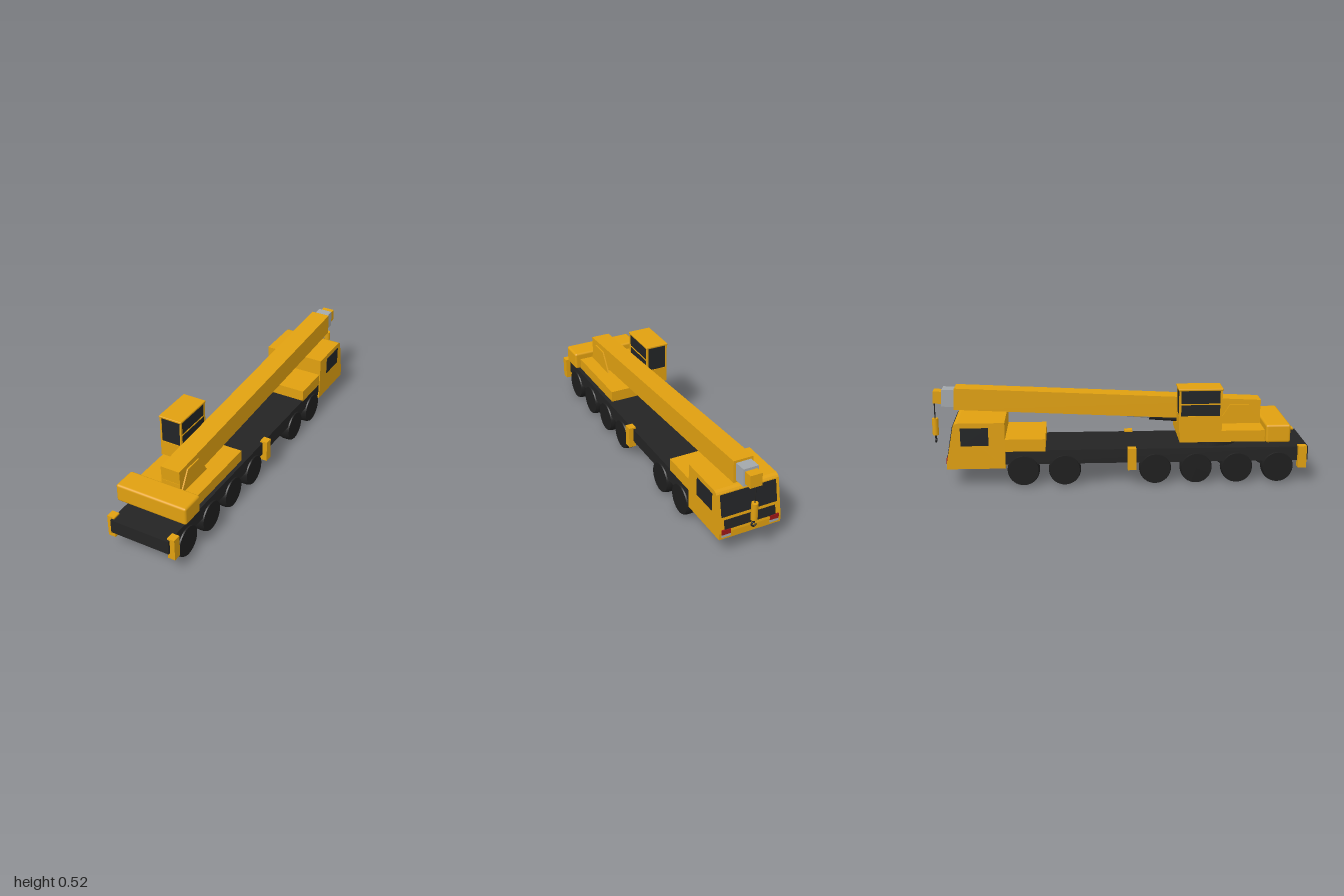
import * as THREE from 'three';
import { RoundedBoxGeometry } from 'three/addons/geometries/RoundedBoxGeometry.js';

const mat = (name, color) => Object.assign(new THREE.MeshStandardMaterial({ color }), { name });

export function createModel() {
  const yellow = mat('yellow paint', 0xe0a010);
  const dark = mat('dark chassis', 0x242424);
  const rubber = mat('tyre rubber', 0x1e1e1e);
  const glass = mat('dark glass', 0x222426);
  const steel = mat('grey steel', 0xa3a8ac);
  const red = mat('red lamp', 0xa01818);

  const model = new THREE.Group();
  model.name = 'mobileCrane';

  const add = (name, geometry, material, parent = model) => {
    const mesh = new THREE.Mesh(geometry, material);
    mesh.name = name;
    parent.add(mesh);
    return mesh;
  };
  // Box given by its limits on each axis
  const box = (name, material, [x0, x1], [y0, y1], [z0, z1], parent, radius = 0) => {
    const size = [x1 - x0, y1 - y0, z1 - z0];
    const geometry = radius ? new RoundedBoxGeometry(...size, 3, radius) : new THREE.BoxGeometry(...size);
    const mesh = add(name, geometry, material, parent);
    mesh.position.set((x0 + x1) / 2, (y0 + y1) / 2, (z0 + z1) / 2);
    return mesh;
  };
  // Cylinder between two points
  const rod = (name, material, from, to, radius, parent) => {
    const a = new THREE.Vector3(...from), b = new THREE.Vector3(...to);
    const mesh = add(name, new THREE.CylinderGeometry(radius, radius, a.distanceTo(b), 20), material, parent);
    mesh.position.copy(a).lerp(b, 0.5);
    mesh.quaternion.setFromUnitVectors(new THREE.Vector3(0, 1, 0), b.sub(a).normalize());
    return mesh;
  };
  // Side outline given as [z, y], extruded across x0..x1
  const sideProfile = (name, material, points, x0, x1, parent) => {
    const shape = new THREE.Shape(points.map(([z, y]) => new THREE.Vector2(-z, y)));
    const geometry = new THREE.ExtrudeGeometry(shape, { depth: x1 - x0, bevelEnabled: false });
    geometry.rotateY(Math.PI / 2).translate(x0, 0, 0);
    return add(name, geometry, material, parent);
  };

  // Chassis and engine cover
  box('chassis', dark, [-0.164, 0.164], [0.12, 0.195], [-0.7, 1]);
  box('engineCover', yellow, [-0.165, 0.165], [0.19, 0.256], [-0.605, -0.39]);

  // Wheels: six axles
  const tyre = new THREE.LatheGeometry(
    [[0, -0.033], [0.079, -0.033], [0.079, -0.033], [0.083, -0.022], [0.085, -0.012],
      [0.085, 0.012], [0.083, 0.022], [0.079, 0.033], [0.079, 0.033], [0, 0.033]]
      .map(([r, y]) => new THREE.Vector2(r, y)), 36).rotateZ(Math.PI / 2);
  for (const z of [0.84, 0.622, 0.405, 0.188, -0.29, -0.507]) {
    for (const s of [-1, 1]) add('wheel', tyre, rubber).position.set(s * 0.138, 0.085, z);
  }

  // Outrigger legs
  for (const z of [0.966, 0.063]) {
    for (const s of [-1, 1]) {
      box('outrigger', yellow, [s * 0.17 - 0.02, s * 0.17 + 0.02], [0.086, 0.204], [z - 0.022, z + 0.022]);
    }
  }

  // Driving cab with a sloping windscreen
  const cab = new THREE.Group();
  cab.name = 'drivingCab';
  model.add(cab);
  sideProfile('cabBody', yellow, [[-0.6, 0.1], [-0.905, 0.1], [-0.905, 0.135], [-0.867, 0.333],
    [-0.86, 0.342], [-0.845, 0.348], [-0.6, 0.348]], -0.17, 0.17, cab);
  const slope = Math.atan(0.038 / 0.198);
  const slopePlate = (name, material, [x0, x1], [y0, y1]) => {
    const y = (y0 + y1) / 2;
    const mesh = add(name, new THREE.BoxGeometry(x1 - x0, (y1 - y0) / Math.cos(slope), 0.008), material, cab);
    mesh.position.set((x0 + x1) / 2, y, -0.905 + (y - 0.135) * 0.192);
    mesh.rotation.x = slope;
  };
  slopePlate('windscreen', glass, [-0.152, 0.152], [0.215, 0.328]);
  slopePlate('grille', dark, [-0.14, 0.14], [0.15, 0.198]);
  for (const s of [-1, 1]) {
    box('sideWindow', glass, [s * 0.17 - 0.003, s * 0.17 + 0.003], [0.226, 0.322], [-0.83, -0.685], cab);
    box('lamp', red, [s * 0.133 - 0.024, s * 0.133 + 0.024], [0.126, 0.152], [-0.909, -0.9], cab);
    box('lampTrim', steel, [s * 0.133 - 0.024, s * 0.133 + 0.024], [0.112, 0.126], [-0.909, -0.9], cab);
  }

  // Slewing platform
  const turntable = add('turntable', new THREE.CylinderGeometry(0.132, 0.132, 0.04, 40), dark);
  turntable.position.set(0, 0.21, 0.51);
  box('platform', yellow, [-0.165, 0.165], [0.227, 0.288], [0.315, 0.785]);
  box('counterweight', yellow, [-0.197, 0.197], [0.228, 0.325], [0.765, 0.895], model, 0.012);

  // Operator cab: base, corner posts, inset glazing and roof
  const operator = new THREE.Group();
  operator.name = 'operatorCab';
  model.add(operator);
  box('operatorCabBase', yellow, [-0.174, -0.05], [0.285, 0.372], [0.308, 0.534], operator);
  for (const x of [-0.174, -0.059]) {
    for (const z of [0.308, 0.523]) {
      box('cornerPost', yellow, [x, x + 0.009], [0.372, 0.51], [z, z + 0.011], operator);
    }
  }
  box('operatorGlass', glass, [-0.172, -0.052], [0.37, 0.503], [0.311, 0.531], operator);
  for (const x of [-0.173, -0.051]) {
    box('windowBar', yellow, [x - 0.002, x + 0.002], [0.432, 0.438], [0.315, 0.527], operator);
  }
  box('operatorRoof', yellow, [-0.178, -0.047], [0.507, 0.519], [0.304, 0.538], operator, 0.004);

  // Boom with its telescoping section and head
  const boomX = 0.0325;
  const boom = new THREE.Group();
  boom.name = 'boom';
  boom.position.set(boomX, 0.398, -0.055);
  boom.rotation.x = 0.0505;
  model.add(boom);
  box('mainBoom', yellow, [-0.0525, 0.0525], [-0.058, 0.058], [-0.818, 0.82], boom);
  box('innerBoom', steel, [-0.04, 0.04], [-0.046, 0.046], [-0.885, -0.81], boom);
  box('boomHead', yellow, [-0.032, 0.032], [-0.033, 0.033], [-0.932, -0.88], boom);

  // Boom pivot cheeks and lift cylinder
  for (const s of [-1, 1]) {
    const x = boomX + s * 0.055;
    sideProfile('pivotCheek', yellow, [[0.765, 0.285], [0.53, 0.285], [0.6, 0.393], [0.7, 0.393]], x - 0.005, x + 0.005);
  }
  box('pivotBlock', yellow, [-0.02, 0.085], [0.285, 0.34], [0.56, 0.765]);
  rod('liftCylinder', dark, [boomX, 0.297, 0.46], [boomX, 0.32, 0.17], 0.02);
  rod('liftRod', steel, [boomX, 0.318, 0.19], [boomX, 0.337, -0.015], 0.012);

  // Hoist rope, hook block and hook
  const hookZ = -0.983;
  rod('hoistRope', dark, [boomX, 0.31, hookZ], [boomX, 0.43, hookZ], 0.003);
  const block = add('hookBlock', new THREE.CylinderGeometry(0.017, 0.017, 0.092, 16), yellow);
  block.position.set(boomX, 0.276, hookZ);
  rod('hookShank', dark, [boomX, 0.212, hookZ], [boomX, 0.232, hookZ], 0.006);
  const hook = add('hook', new THREE.TorusGeometry(0.012, 0.0045, 8, 20, Math.PI * 1.5), dark);
  hook.position.set(boomX, 0.203, hookZ);
  hook.rotation.z = Math.PI;

  return model;
}
